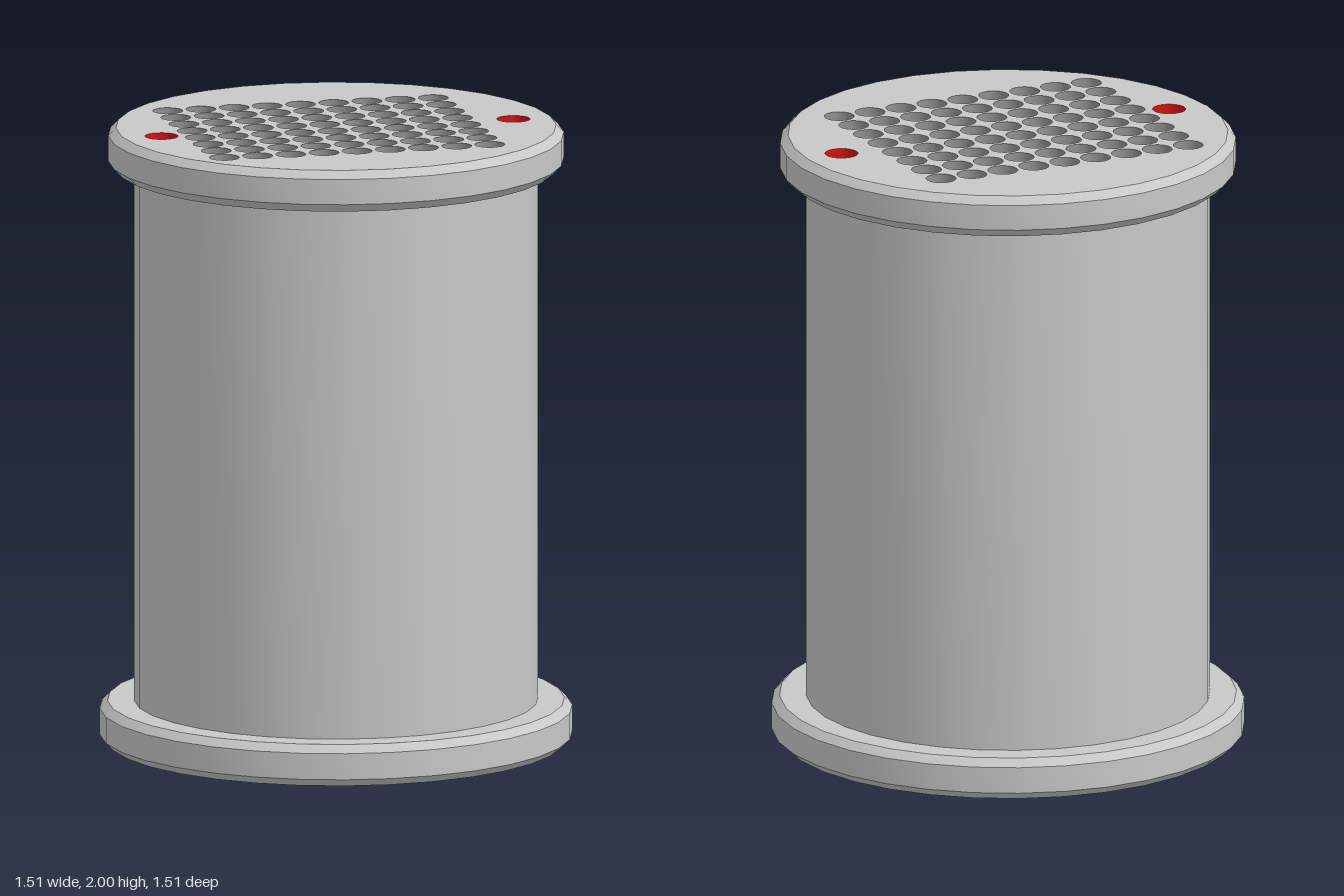
import * as THREE from 'three';
import { mergeGeometries, toCreasedNormals } from 'three/addons/utils/BufferGeometryUtils.js';

const SIDES = 32, PIT_SIDES = 24;

// Regular polygon outline for faces and their holes
function ring(Target, cx, cy, r, n) {
  const pts = [];
  for (let i = 0; i < n; i++) {
    const a = (i / n) * Math.PI * 2;
    pts.push(new THREE.Vector2(cx + r * Math.cos(a), cy + r * Math.sin(a)));
  }
  return new Target(pts);
}

// Flat round face with holes cut at [x, z, radius]; up = 1 faces +y, -1 faces -y
function holedFace(r, y, holes, up) {
  const shape = ring(THREE.Shape, 0, 0, r, SIDES);
  for (const [x, z, hr] of holes) shape.holes.push(ring(THREE.Path, x, -up * z, hr, PIT_SIDES));
  return new THREE.ShapeGeometry(shape).rotateX(-up * Math.PI / 2).translate(0, y, 0);
}

// Round sunken pits, each with a wall and a floor
function pits(holes, y, depth, up) {
  const parts = [];
  for (const [x, z, r] of holes) {
    parts.push(new THREE.CylinderGeometry(r, r, depth, PIT_SIDES, 1, true)
      .scale(-1, 1, 1).translate(x, y - up * depth / 2, z));
    parts.push(new THREE.CircleGeometry(r, PIT_SIDES).rotateX(-up * Math.PI / 2)
      .translate(x, y - up * depth, z));
  }
  // Turn wall normals towards the pit axis
  parts.forEach((g, i) => {
    if (i % 2) return;
    const n = g.attributes.normal, p = g.attributes.position, [x, z, r] = holes[i / 2];
    for (let k = 0; k < n.count; k++) n.setXYZ(k, (x - p.getX(k)) / r, 0, (z - p.getZ(k)) / r);
  });
  return mergeGeometries(parts);
}

// Turned surface with sharp edges between its bands
function turned(points) {
  const g = new THREE.LatheGeometry(points.map(([r, y]) => new THREE.Vector2(r, y)), SIDES);
  return toCreasedNormals(g, Math.PI / 6);
}

export function createModel() {
  const group = new THREE.Group();
  const metal = new THREE.MeshStandardMaterial({ color: 0xc8c8c8 });
  const darkMetal = new THREE.MeshStandardMaterial({ color: 0x929292 });
  const red = new THREE.MeshStandardMaterial({ color: 0xd91111 });
  darkMetal.side = red.side = THREE.DoubleSide;

  const add = (name, geometry, material) => {
    const mesh = new THREE.Mesh(geometry, material);
    mesh.name = name;
    group.add(mesh);
  };

  // Hole layouts: 9 x 8 grid, two red holes on top, one underneath
  const grid = [];
  for (let i = 0; i < 9; i++)
    for (let j = 0; j < 8; j++) grid.push([-0.463 + i * 0.109, -0.367 + j * 0.109, 0.048]);
  const topRed = [[-0.578, 0.02, 0.053], [0.578, 0.02, 0.053]];
  const bottomRed = [[0, 0, 0.092]];

  // Main drum
  add('body', turned([[0.645, 0.12], [0.645, 1.89]]), metal);

  // Chamfered end flanges
  add('baseFlange', turned([[0.73, 0], [0.755, 0.025], [0.755, 0.11], [0.73, 0.135], [0.6, 0.135]]), metal);
  add('topFlange', turned([[0.6, 1.865], [0.7, 1.865], [0.728, 1.893], [0.728, 1.975], [0.703, 2]]), metal);

  // End faces with their holes
  add('topFace', holedFace(0.703, 2, [...grid, ...topRed], 1), metal);
  add('bottomFace', holedFace(0.73, 0, bottomRed, -1), metal);
  add('gridHoles', pits(grid, 2, 0.1, 1), darkMetal);
  add('topRedHoles', pits(topRed, 2, 0.1, 1), red);
  add('bottomRedHole', pits(bottomRed, 0, 0.1, -1), red);

  return group;
}
